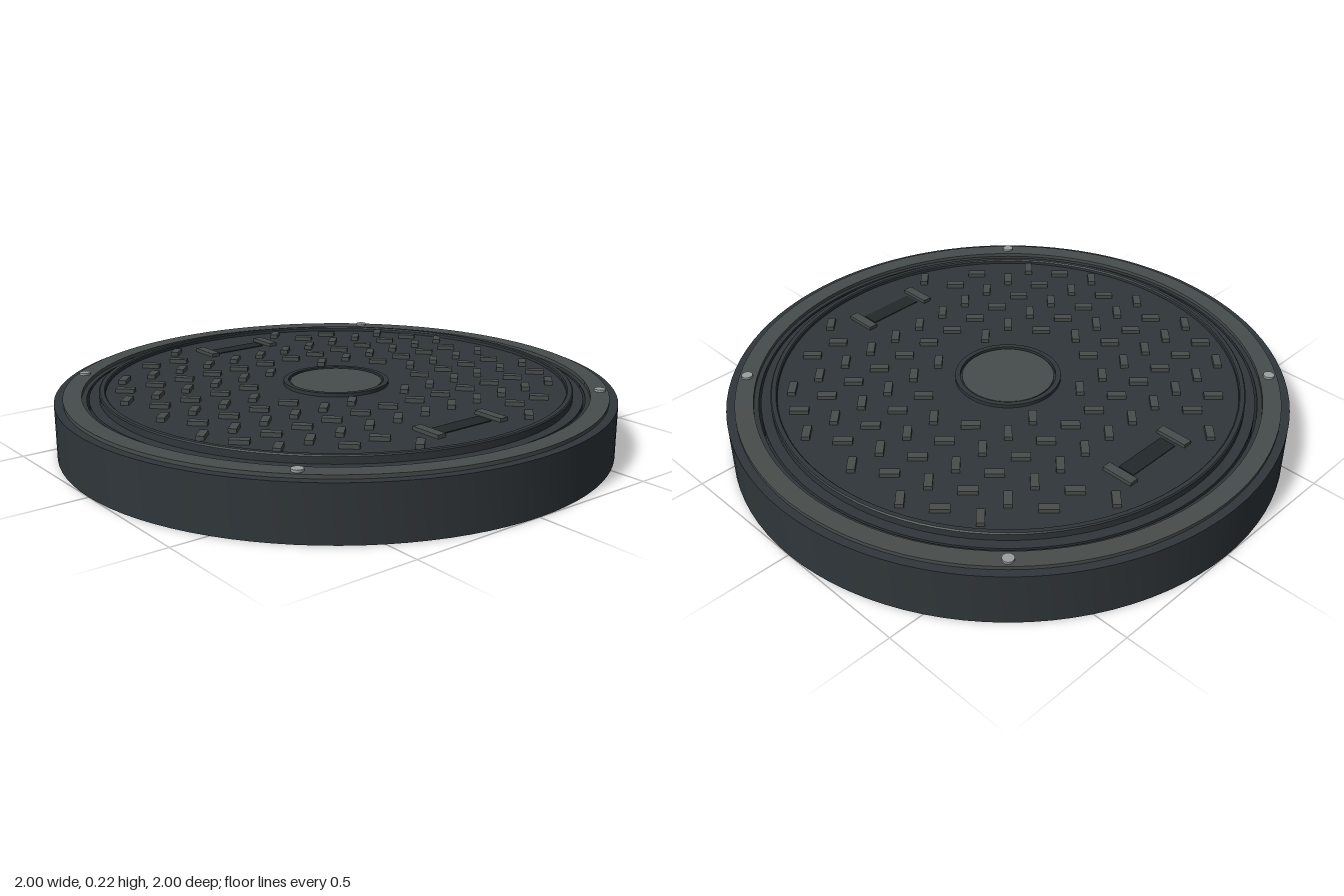
import * as THREE from 'three';
import { toCreasedNormals } from 'three/addons/utils/BufferGeometryUtils.js';

const SEGMENTS = 96;
const iron = new THREE.MeshStandardMaterial({ color: 0x30363a });
const wornIron = new THREE.MeshStandardMaterial({ color: 0x474d4c });
const darkIron = new THREE.MeshStandardMaterial({ color: 0x23282b });
const steel = new THREE.MeshStandardMaterial({ color: 0x9a9f9f });

// Revolved solid with crisp edges; profile runs bottom to top along the outside
function turned(name, profile, material) {
  const points = profile.map(([r, y]) => new THREE.Vector2(r, y));
  const geometry = toCreasedNormals(new THREE.LatheGeometry(points, SEGMENTS), 0.5);
  const mesh = new THREE.Mesh(geometry, material);
  mesh.name = name;
  return mesh;
}

// Flat ring with a rectangular section
const band = (name, inner, outer, y0, y1, material) =>
  turned(name, [[inner, y0], [outer, y0], [outer, y1], [inner, y1], [inner, y0]], material);

function block(name, size, position, material, turn = 0) {
  const mesh = new THREE.Mesh(new THREE.BoxGeometry(...size), material);
  mesh.name = name;
  mesh.position.set(...position);
  mesh.rotation.y = turn;
  return mesh;
}

export function createModel() {
  const group = new THREE.Group();
  group.name = 'manholeCover';

  // Outer frame with a raised worn band on top
  group.add(band('frame', 0.888, 1, 0, 0.192, iron));
  group.add(band('frameBand', 0.905, 0.97, 0.185, 0.205, wornIron));

  // Lid: plate with a lowered edge and a raised rim
  group.add(turned('lid', [
    [0, 0.05], [0.88, 0.05], [0.88, 0.192], [0.845, 0.192], [0.845, 0.216], [0.841, 0.22],
    [0.826, 0.22], [0.822, 0.216], [0.822, 0.205], [0, 0.205],
  ], iron));

  // Centre plate and its ring
  group.add(band('centreRing', 0.172, 0.19, 0.2, 0.218, iron));
  group.add(turned('centrePlate', [[0, 0.2], [0.165, 0.2], [0.165, 0.214], [0, 0.214]], wornIron));

  // Anti-slip treads: staggered columns, leaning alternate ways
  const treads = new THREE.Group();
  treads.name = 'treads';
  for (let column = -6; column <= 6; column++) {
    const odd = Math.abs(column) % 2;
    const x = column * 0.12;
    for (let row = -7; row <= 6; row++) {
      const z = row * 0.12 + (odd ? 0.06 : 0);
      const r = Math.hypot(x, z);
      const nearHandle = Math.abs(x) > 0.55 && Math.abs(z) < 0.2;
      if (r < 0.25 || r > 0.78 || nearHandle) continue;
      treads.add(block('tread', [0.066, 0.02, 0.028], [x, 0.21, z], wornIron,
        odd ? Math.PI / 4 : -Math.PI / 4));
    }
  }
  group.add(treads);

  // Lifting handles: dark slot between two end bars
  for (const side of [-1, 1]) {
    const handle = new THREE.Group();
    handle.name = side > 0 ? 'leftHandle' : 'rightHandle';
    handle.add(block('slot', [0.062, 0.012, 0.215], [0, 0.202, 0], darkIron));
    for (const end of [-1, 1]) {
      handle.add(block('endBar', [0.118, 0.018, 0.034], [0, 0.209, end * 0.138], wornIron));
    }
    handle.position.x = side * 0.648;
    group.add(handle);
  }

  // Frame bolts
  for (const x of [-1, 1]) for (const z of [-1, 1]) {
    const bolt = new THREE.Mesh(new THREE.CylinderGeometry(0.02, 0.02, 0.018, 16), steel);
    bolt.name = 'bolt';
    bolt.position.set(x * 0.665, 0.204, z * 0.665);
    group.add(bolt);
  }

  // Stiffening ribs under the lid
  for (let i = 0; i < 3; i++) {
    group.add(block('rib', [1.54, 0.035, 0.034], [0, 0.045, 0], iron, i * Math.PI / 3));
  }

  return group;
}
